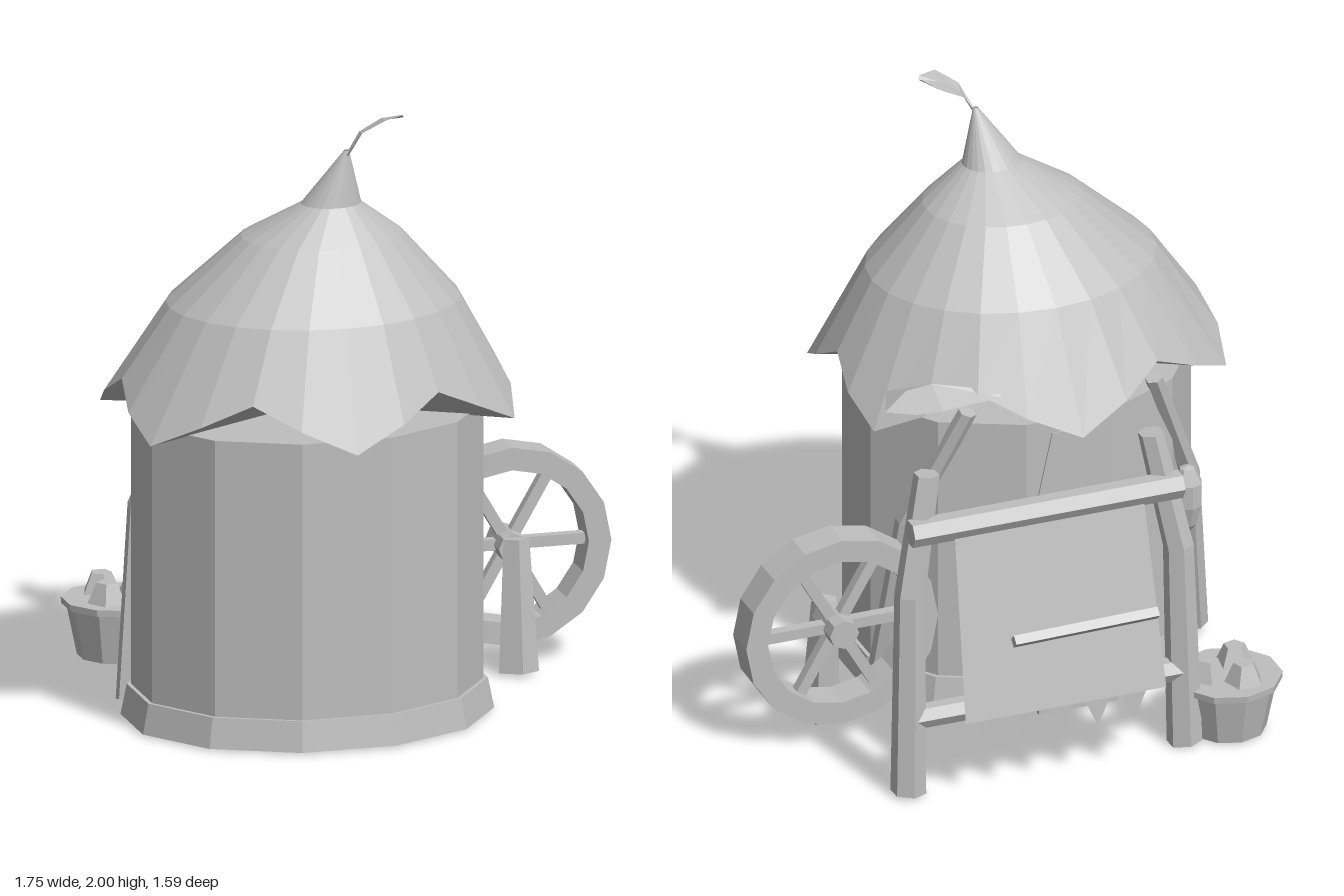
import * as THREE from 'three';

const V = (x, y, z) => new THREE.Vector3(x, y, z);
const CX = -0.24, CZ = 0.22, SQUASH = 0.824;

// Skin a list of equal-length rings, running bottom to top, with optional end caps
function loft(rings, closed = true, caps = true) {
  const n = rings[0].length, pos = rings.flat().flatMap(p => [p.x, p.y, p.z]), idx = [];
  for (let r = 0; r < rings.length - 1; r++)
    for (let i = 0; i < (closed ? n : n - 1); i++) {
      const a = r * n + i, b = r * n + (i + 1) % n;
      idx.push(a, b, b + n, a, b + n, a + n);
    }
  if (caps) for (let i = 1; i < n - 1; i++) {
    const t = (rings.length - 1) * n;
    idx.push(0, i + 1, i, t, t + i, t + i + 1);
  }
  const g = new THREE.BufferGeometry();
  g.setAttribute('position', new THREE.Float32BufferAttribute(pos, 3));
  g.setIndex(idx);
  g.computeVertexNormals();
  return g;
}

// Tapered, possibly bent, timber through a few points
function timber(points, radii, sides = 6) {
  const dir = points[points.length - 1].clone().sub(points[0]).normalize();
  const q = new THREE.Quaternion().setFromUnitVectors(V(0, 1, 0), dir);
  return loft(points.map((p, k) => Array.from({ length: sides }, (_, i) => {
    const a = i / sides * Math.PI * 2;
    return V(Math.sin(a) * radii[k], 0, Math.cos(a) * radii[k]).applyQuaternion(q).add(p);
  })));
}

function circlePoints(r, n) {
  return Array.from({ length: n }, (_, i) =>
    new THREE.Vector2(Math.cos(i / n * 2 * Math.PI) * r, Math.sin(i / n * 2 * Math.PI) * r));
}

export function createModel() {
  const model = new THREE.Group();
  const grey = new THREE.MeshStandardMaterial({ color: 0xbebebe, flatShading: true, side: THREE.DoubleSide });
  grey.name = 'plain grey';
  const add = (name, geo, x = 0, y = 0, z = 0, parent = model) => {
    const m = new THREE.Mesh(geo, grey);
    m.name = name;
    m.position.set(x, y, z);
    parent.add(m);
    return m;
  };

  // Oval twelve-sided hut on a low plinth
  const drum = (r0, r1, h) => new THREE.CylinderGeometry(r1, r0, h, 12, 1, false, Math.PI / 12).scale(1, 1, SQUASH);
  add('wall', drum(0.571, 0.571, 1.015), CX, 0.5075, CZ);
  add('plinth', drum(0.605, 0.585, 0.1), CX, 0.05, CZ);

  // Petal roof: six drooping points, leaning to a crooked tip
  const N = 24;
  const roofRing = (cx, y, cz, r, droop = 0) => Array.from({ length: N }, (_, i) => {
    const a = i / N * Math.PI * 2;
    const lift = [0, 0.5, 1, 0.5][i % 4] * droop;
    const rr = r - lift * 0.55;
    return V(cx + Math.sin(a) * rr, y + lift, cz + Math.cos(a) * rr * SQUASH);
  });
  const hem = roofRing(CX, 1.0, CZ, 0.7, 0.15);
  add('roof', loft([
    hem,
    roofRing(-0.225, 1.375, 0.235, 0.478),
    roofRing(-0.2, 1.59, 0.245, 0.262),
    roofRing(-0.18, 1.7, 0.285, 0.098),
    roofRing(-0.14, 1.88, 0.325, 0.008)
  ], true, false));
  // Shallow underside running from the hem to the middle
  add('roofUnderside', loft([roofRing(CX, 1.02, CZ, 0.01), hem], true, false));

  // Leaf curling from the tip, creased along its middle
  const leafRow = (x, y, z, w) =>
    [V(x + w * 0.2, y - w * 0.3, z - w), V(x + 0.006, y - 0.008, z), V(x - w * 0.1, y + w * 0.1, z + w)];
  add('tipLeaf', loft([
    leafRow(-0.145, 1.86, 0.325, 0.008), leafRow(-0.1, 1.945, 0.345, 0.038),
    leafRow(-0.03, 1.988, 0.36, 0.054), leafRow(0.03, 1.997, 0.375, 0.012)
  ], false, false));

  // Folded leaf over the beam at the eave
  add('eaveLeaf', loft([
    [V(0.0, 1.14, -0.25), V(0.01, 1.16, -0.23), V(0.02, 1.14, -0.2)],
    [V(0.2, 1.13, -0.25), V(0.2, 1.18, -0.15), V(0.16, 1.13, -0.08)],
    [V(0.28, 1.12, -0.225), V(0.28, 1.16, -0.13), V(0.31, 1.12, -0.035)],
    [V(0.365, 1.12, -0.175), V(0.365, 1.12, -0.17), V(0.365, 1.12, -0.165)]
  ], false, false));

  // Back door with tapered head, step and handle
  const door = new THREE.Shape([[-0.14, 0.1], [0.14, 0.1], [0.14, 0.6], [0.06, 0.97], [-0.06, 0.97], [-0.14, 0.6]]
    .map(p => new THREE.Vector2(...p)));
  add('door', new THREE.ExtrudeGeometry(door, { depth: 0.008, bevelEnabled: false }), CX, 0, -0.24);
  add('doorStep', new THREE.BoxGeometry(0.27, 0.068, 0.1), CX, 0.036, -0.262);
  add('doorHandle', new THREE.SphereGeometry(0.02, 6, 5).scale(0.6, 1.1, 0.5), CX + 0.06, 0.3, -0.28);

  // Leaning beams either side of the door
  for (const s of [-1, 1])
    add(s < 0 ? 'rightBeam' : 'leftBeam', timber([
      V(CX + s * 0.55, 0.03, 0.045), V(CX + s * 0.485, 0.64, -0.045), V(CX + s * 0.32, 1.06, -0.16)
    ], [0.037, 0.037, 0.03]));

  // Slim lantern by the door
  const lantern = [[0, -0.13], [0.03, -0.09], [0.048, -0.02], [0.048, 0.06], [0.025, 0.11], [0, 0.12]]
    .map(p => new THREE.Vector2(...p));
  add('lantern', new THREE.LatheGeometry(lantern, 8), -0.69, 0.58, -0.125);

  // Spoked wheel on a stand
  const wheel = new THREE.Group();
  wheel.name = 'wheel';
  wheel.position.set(0.541, 0.39, -0.178);
  model.add(wheel);
  const rim = new THREE.Shape(circlePoints(0.33, 16));
  rim.holes.push(new THREE.Path(circlePoints(0.255, 16)));
  add('rim', new THREE.ExtrudeGeometry(rim, { depth: 0.114, bevelEnabled: false }), 0, 0, -0.057, wheel);
  for (let i = 0; i < 6; i++) {
    const spoke = new THREE.BoxGeometry(0.25, 0.036, 0.036).translate(0.14, 0, 0);
    add('spoke', spoke, 0, 0, 0, wheel).rotation.z = i * Math.PI / 3;
  }
  add('hub', new THREE.CylinderGeometry(0.05, 0.05, 0.155, 8).rotateX(Math.PI / 2), 0, 0, 0, wheel);
  add('wheelStand', timber([V(0.535, 0, -0.045), V(0.54, 0.43, -0.085)], [0.07, 0.045], 5));

  // Hanging frame: bent posts and two rails
  for (const s of [-1, 1])
    add(s < 0 ? 'rightPost' : 'leftPost', timber([
      V(s * 0.475, 0, -0.64), V(s * 0.462, 0.7, -0.62), V(s * 0.385, 1.1, -0.573)
    ], [0.058, 0.05, 0.042]));
  add('topRail', timber([V(-0.465, 0.925, -0.63), V(0.465, 0.925, -0.63)], [0.046, 0.046]));
  add('lowerRail', timber([V(-0.46, 0.265, -0.64), V(0.46, 0.265, -0.64)], [0.04, 0.04]));

  // Sloping cloth with a pointed fringe and a stick across it
  add('cloth', loft([
    [V(0.34, 0.295, -0.797), V(-0.35, 0.295, -0.797)],
    [V(0.32, 0.92, -0.65), V(-0.33, 0.92, -0.65)]
  ], false, false));
  for (let i = 0; i < 5; i++) {
    const x = -0.24 + i * 0.125;
    add('fringe', new THREE.BufferGeometry().setFromPoints([
      V(x + 0.045, 0.3, -0.793), V(x, 0.2, -0.798), V(x - 0.045, 0.3, -0.793)
    ])).geometry.computeVertexNormals();
  }
  add('stick', timber([V(-0.34, 0.54, -0.745), V(0.16, 0.54, -0.76)], [0.022, 0.022], 4));

  // Tub filled with lumps
  const tub = new THREE.Group();
  tub.name = 'tub';
  tub.position.set(-0.64, 0, -0.598);
  model.add(tub);
  add('bucket', new THREE.CylinderGeometry(0.16, 0.125, 0.17, 10), 0, 0.085, 0, tub);
  add('bucketRim', new THREE.CylinderGeometry(0.177, 0.175, 0.022, 10), 0, 0.179, 0, tub);
  for (const [x, z, turn] of [[-0.03, -0.07, 0], [0.07, 0, 0.5], [-0.045, 0.055, 0.9]])
    add('lump', new THREE.CylinderGeometry(0.035, 0.066, 0.07, 5), x, 0.222, z, tub).rotation.y = turn;

  return model;
}
